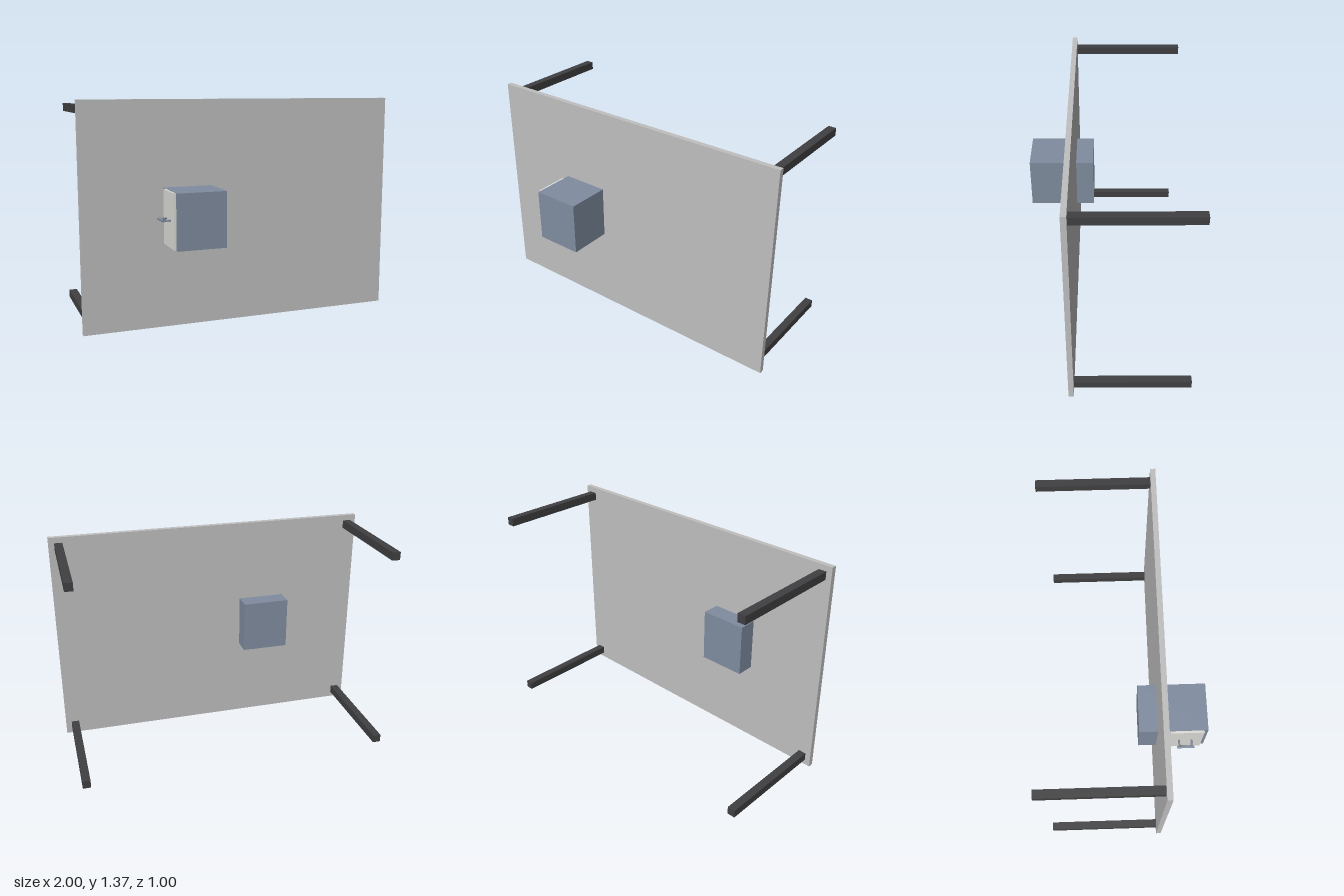
import * as THREE from 'three';

export function createModel() {
  const model = new THREE.Group();
  const material = (name, color) => {
    const m = new THREE.MeshStandardMaterial({ color });
    m.name = name;
    return m;
  };
  const panelGray = material('panel gray', 0xc0c0c0);
  const slateBlue = material('slate blue', 0x808da0);
  const charcoal = material('charcoal', 0x404042);
  const paleGray = material('pale gray', 0xdcdcd8);
  const handleGray = material('handle gray', 0x7f8b9b);

  const add = (name, geometry, mat, x, y, z, parent = model) => {
    const mesh = new THREE.Mesh(geometry, mat);
    mesh.name = name;
    mesh.position.set(x, y, z);
    parent.add(mesh);
    return mesh;
  };

  // Upright wall panel
  add('panel', new THREE.BoxGeometry(2, 1.366, 0.032), panelGray, 0, 0.683, 0.213);

  // Four square legs reaching back from the panel corners
  const legGeometry = new THREE.BoxGeometry(0.049, 0.049, 0.699);
  for (const x of [-0.94, 0.94]) {
    for (const y of [0.059, 1.307]) add('leg', legGeometry, charcoal, x, y, -0.1525);
  }

  // Box passing through the panel
  add('cabinet', new THREE.BoxGeometry(0.296, 0.33, 0.418), slateBlue, -0.355, 0.686, 0.292);

  // Door on the right side of the box
  add('door', new THREE.BoxGeometry(0.014, 0.326, 0.207), paleGray, -0.51, 0.686, 0.374);

  // Door handle: a grip bar on two posts
  const handle = new THREE.Group();
  handle.name = 'doorHandle';
  handle.position.set(-0.517, 0.686, 0.372);
  model.add(handle);
  const grip = new THREE.CylinderGeometry(0.008, 0.008, 0.107, 20).rotateX(Math.PI / 2);
  add('handleGrip', grip, handleGray, -0.045, 0, 0, handle);
  const post = new THREE.CylinderGeometry(0.006, 0.006, 0.045, 16).rotateZ(Math.PI / 2);
  for (const z of [-0.038, 0.038]) add('handlePost', post, handleGray, -0.0225, 0, z, handle);

  return model;
}
